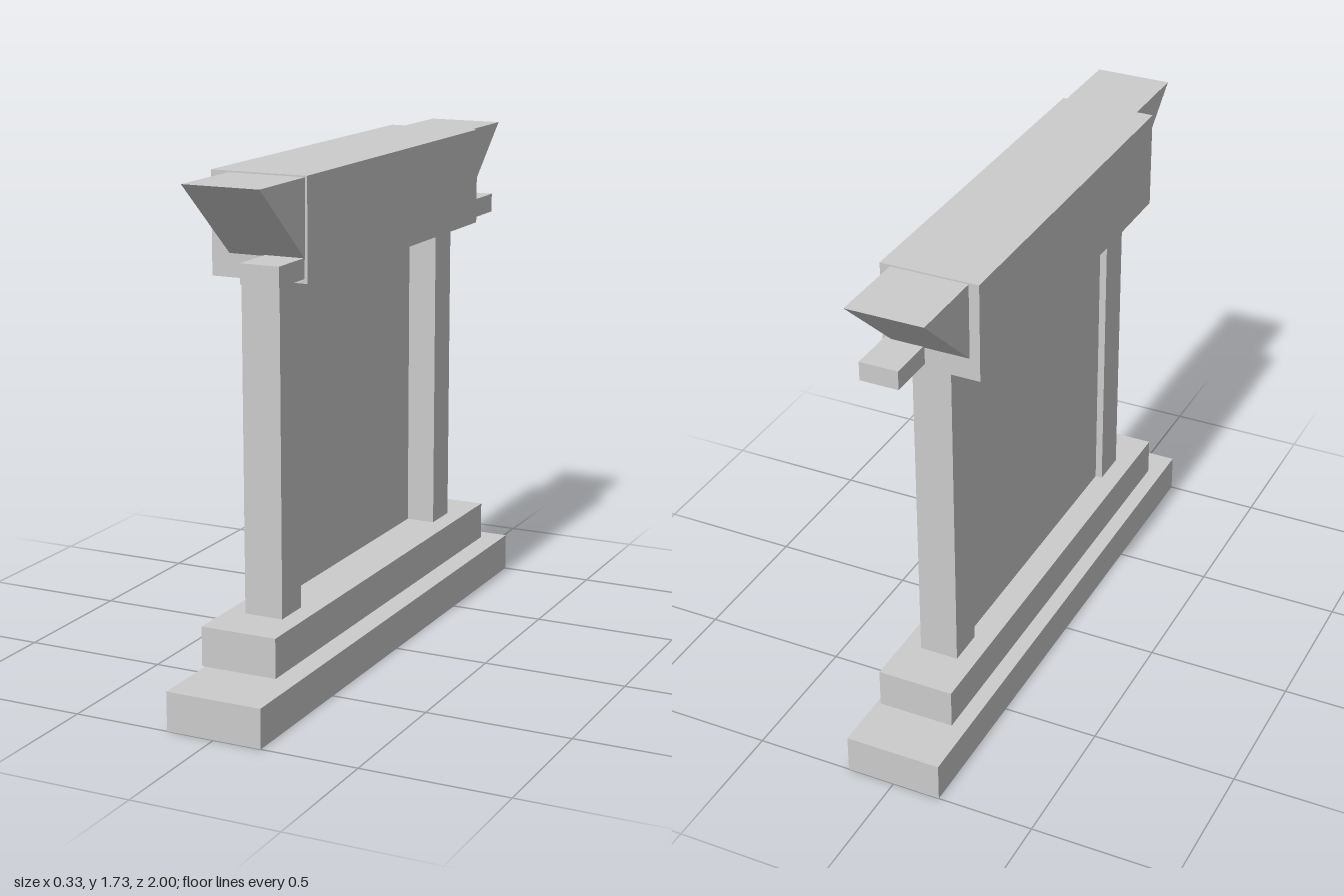
import * as THREE from 'three';

const material = new THREE.MeshStandardMaterial({ color: 0xcccccc, flatShading: true });

// Box given by its minimum and maximum corners
function box(name, [x0, y0, z0], [x1, y1, z1]) {
  const mesh = new THREE.Mesh(new THREE.BoxGeometry(x1 - x0, y1 - y0, z1 - z0), material);
  mesh.position.set((x0 + x1) / 2, (y0 + y1) / 2, (z0 + z1) / 2);
  mesh.name = name;
  return mesh;
}

// Triangular prism across x, its profile given as [z, y] points
function wedge(name, x0, x1, profile) {
  const shape = new THREE.Shape(profile.map(([z, y]) => new THREE.Vector2(-z, y)));
  const geometry = new THREE.ExtrudeGeometry(shape, { depth: x1 - x0, bevelEnabled: false });
  geometry.rotateY(Math.PI / 2).translate(x0, 0, 0);
  const mesh = new THREE.Mesh(geometry, material);
  mesh.name = name;
  return mesh;
}

export function createModel() {
  const model = new THREE.Group();
  model.name = 'gate';

  // Stepped base
  model.add(box('basePlinth', [-0.167, 0, -1], [0.167, 0.133, 1]));
  model.add(box('baseStep', [-0.132, 0.167, -0.833], [0.132, 0.3, 0.833]));

  // Thin panel set back between the columns
  model.add(box('panel', [-0.042, 0.3, -0.53], [-0.035, 1.4, 0.53]));

  // Top beam
  model.add(box('beam', [-0.167, 1.4, -0.663], [0.167, 1.733, 0.667]));

  // Column, bracket and flared wedge at each end
  for (const [end, s] of [['front', 1], ['back', -1]]) {
    const zs = (a, b) => [Math.min(s * a, s * b), Math.max(s * a, s * b)];
    const [c0, c1] = zs(0.53, 0.662);
    model.add(box(end + 'Column', [-0.067, 0.3, c0], [0.067, 1.4, c1]));
    const [b0, b1] = zs(0.65, 0.833);
    model.add(box(end + 'Bracket', [0.022, 1.415, b0], [0.156, 1.48, b1]));
    const shift = s > 0 ? 0.027 : 0;
    model.add(wedge(end + 'Wedge', -0.132 + shift, 0.132 + shift,
      [[s * 0.66, 1.47], [s * 0.66, 1.728], [s * (s > 0 ? 0.957 : 0.947), 1.728]]));
  }
  return model;
}
